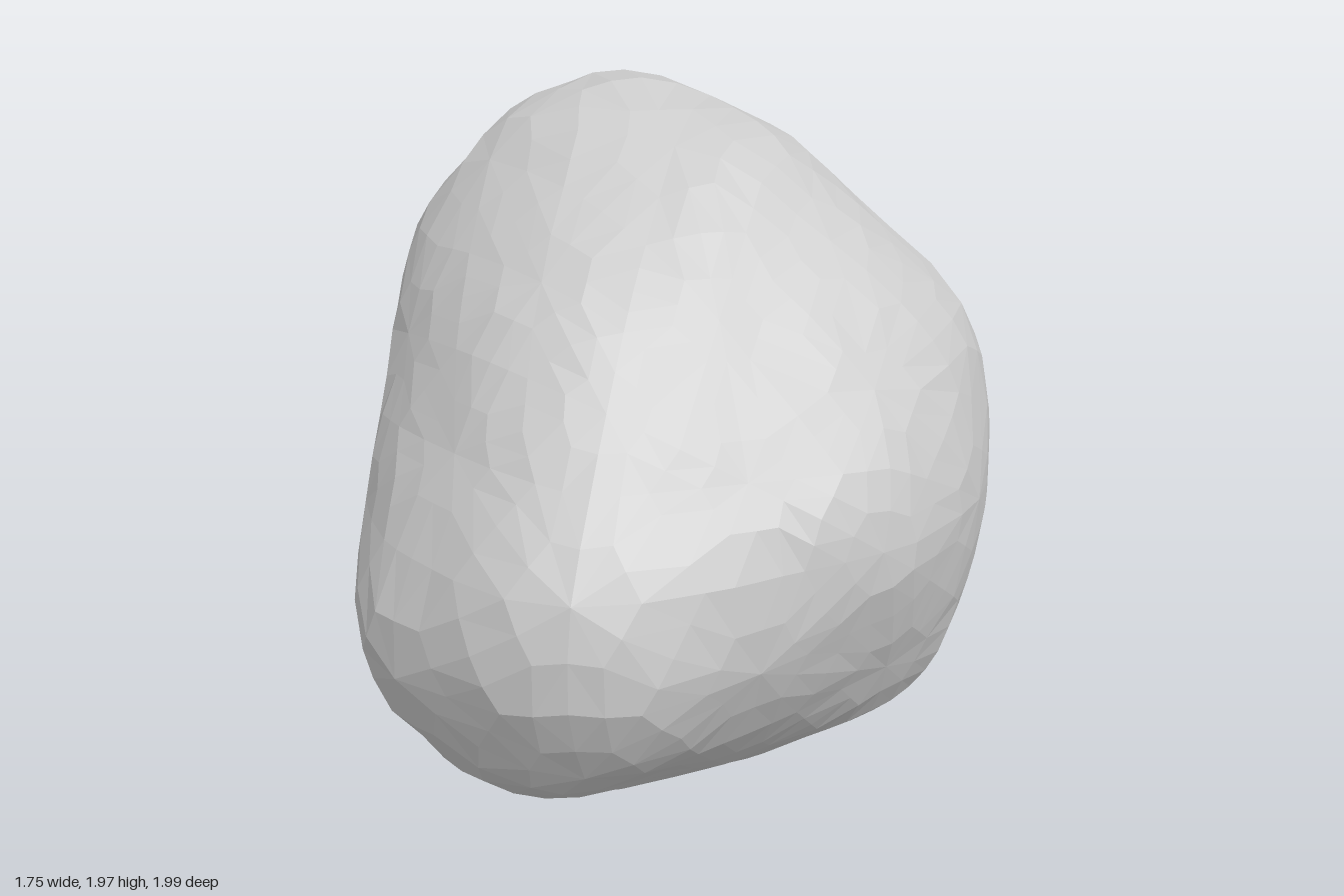
import * as THREE from 'three';

// Rounded lumps whose taut outer skin gives the boulder its shape: x, y, z, radius
const lumps = [
  [-0.24, 1.43, -0.3, 0.54],   // crown
  [-0.38, 1.34, -0.2, 0.48],
  [0, 1.42, -0.22, 0.48],
  [-0.25, 1.38, -0.37, 0.52],
  [-0.15, 1.12, 0.1, 0.55],    // sloping front
  [-0.33, 0.66, 0.47, 0.43],   // front foot
  [-0.2, 0.6, 0.5, 0.44],
  [-0.08, 0.72, 0.53, 0.47],
  [0.25, 0.9, -0.1, 0.63],     // left side
  [0.35, 1.1, -0.2, 0.5],
  [0.3, 0.65, -0.1, 0.53],
  [0.32, 0.88, 0.08, 0.5],
  [0, 0.6, -0.05, 0.6],        // base
  [-0.25, 0.65, 0.1, 0.56],
  [-0.2, 0.66, -0.3, 0.53],
  [-0.1, 0.9, -0.35, 0.65],    // back
  [0.3, 0.9, -0.38, 0.5],
  [0, 0.66, -0.38, 0.53],
  [-0.3, 0.9, -0.15, 0.58],    // right side
  [-0.3, 0.85, 0.1, 0.54],
];
const centre = new THREE.Vector3(0, 0.92, 0);

// Tangent planes around the lumps, spread evenly over all directions
function tangentPlanes(count) {
  return Array.from({ length: count }, (_, i) => {
    const y = 1 - (2 * i + 1) / count, s = Math.sqrt(1 - y * y), a = i * 2.399963;
    const n = new THREE.Vector3(Math.cos(a) * s, y, Math.sin(a) * s);
    const reach = Math.max(...lumps.map(([x, ly, z, r]) => n.x * x + n.y * ly + n.z * z + r));
    return { n, h: reach - n.dot(centre) };
  });
}

const mid = (...p) => p.reduce((s, v) => s.add(v), new THREE.Vector3()).normalize();

// Split a triangle into a six-piece fan around its middle
function fan([a, b, c]) {
  const m = mid(a, b, c);
  return [[a, b], [b, c], [c, a]].flatMap(([p, q]) => {
    const e = mid(p, q);
    return [[p, e, m], [e, q, m]];
  });
}

// Split a triangle into four
function quarter([a, b, c]) {
  const ab = mid(a, b), bc = mid(b, c), ca = mid(c, a);
  return [[a, ab, ca], [ab, b, bc], [ca, bc, c], [ab, bc, ca]];
}

export function createModel() {
  const group = new THREE.Group();
  group.name = 'boulder';

  // Faceted ball with star-shaped clusters of triangles
  const src = new THREE.IcosahedronGeometry(1, 1).attributes.position;
  let tris = [];
  for (let i = 0; i < src.count; i += 3) {
    tris.push([0, 1, 2].map((k) => new THREE.Vector3().fromBufferAttribute(src, i + k).normalize()));
  }
  tris = tris.flatMap(fan).flatMap(quarter);

  // Push every corner out to the skin, with slight chipped unevenness
  const planes = tangentPlanes(2000);
  const place = (d) => {
    let r = Infinity;
    for (const { n, h } of planes) {
      const k = n.dot(d);
      if (k > 0.05) r = Math.min(r, h / k);
    }
    const chip = Math.sin(17 * d.x + 5 * d.y) + Math.sin(19 * d.y + 7 * d.z) + Math.sin(18 * d.z - 6 * d.x);
    return d.clone().multiplyScalar(r * (1 + 0.003 * chip)).add(centre);
  };
  const geometry = new THREE.BufferGeometry().setFromPoints(tris.flat().map(place));
  geometry.computeVertexNormals();

  // Rest the lowest corner on the ground
  geometry.computeBoundingBox();
  geometry.translate(0, -geometry.boundingBox.min.y, 0);

  const rock = new THREE.Mesh(geometry, new THREE.MeshStandardMaterial({ color: 0xcccccc, flatShading: true }));
  rock.name = 'rock';
  group.add(rock);
  return group;
}
